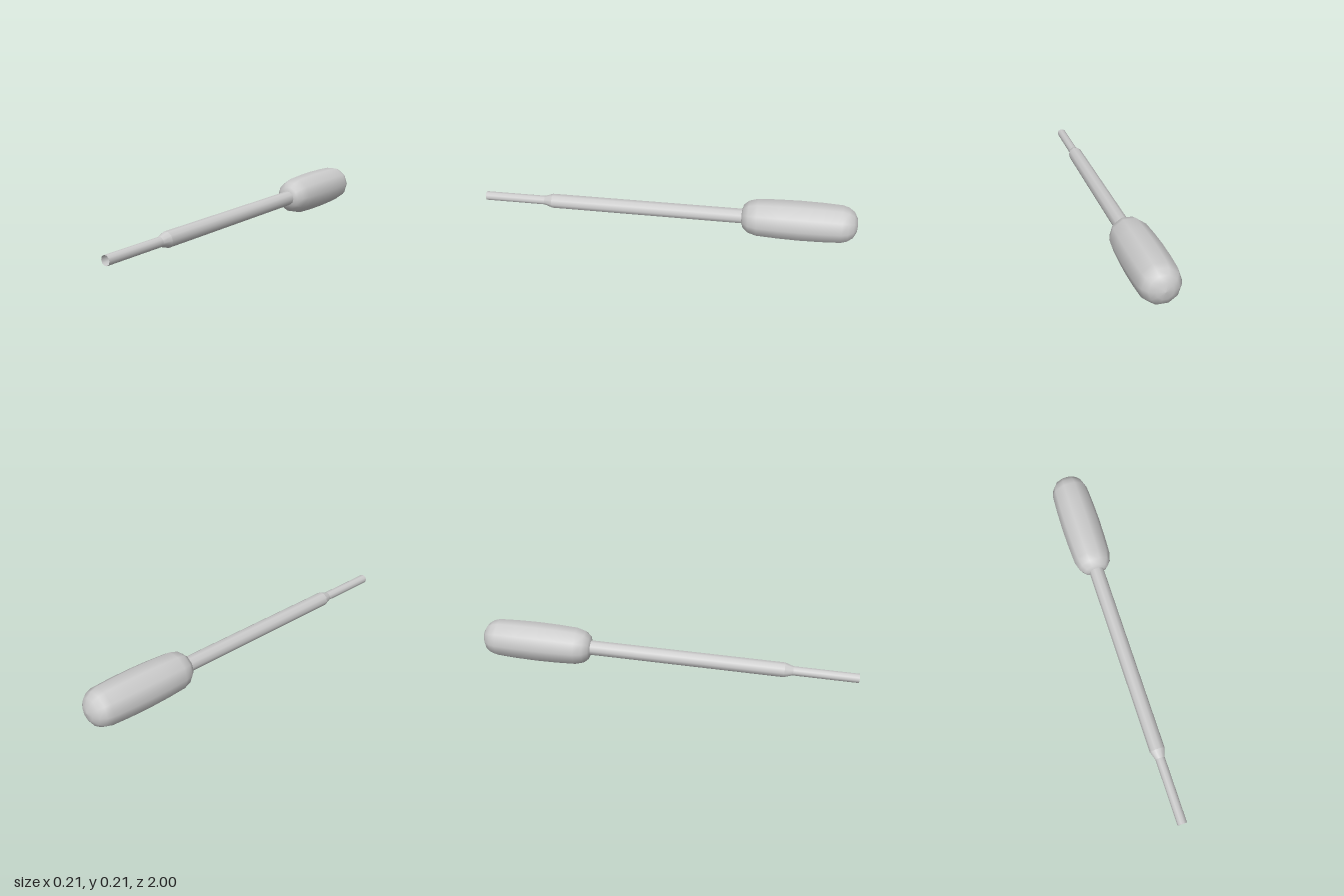
import * as THREE from 'three';

const SIDES = 10;

// Turns a profile of [radius, distance along -z] into a smooth part lying along z
function turned(name, profile, material) {
  const points = profile.map(([r, t]) => new THREE.Vector2(r, t));
  const geometry = new THREE.LatheGeometry(points, SIDES, Math.PI / 2);
  geometry.rotateX(-Math.PI / 2);
  const mesh = new THREE.Mesh(geometry, material);
  mesh.name = name;
  return mesh;
}

export function createModel() {
  const model = new THREE.Group();
  model.name = 'dropperPipette';
  const material = new THREE.MeshStandardMaterial({ color: 0xcccccc, side: THREE.DoubleSide });

  // Open narrow tip, shoulder and long stem
  const tip = turned('tip', [[0.025, 0], [0.025, 0.34]], material);
  const shoulder = turned('shoulder', [[0.025, 0.34], [0.04, 0.385]], material);
  const stem = turned('stem', [[0.04, 0.385], [0.04, 1.415]], material);

  // Squeeze bulb, slightly fuller in the middle, with rounded ends
  const bulb = turned('bulb', [
    [0.04, 1.415], [0.064, 1.423], [0.087, 1.45], [0.1, 1.495],
    [0.105, 1.6], [0.107, 1.71], [0.105, 1.82], [0.1, 1.92],
    [0.09, 1.952], [0.07, 1.979], [0.039, 1.996], [0, 2.002],
  ], material);

  // The whole pipette rests on tip and bulb, rising gently to the back
  model.add(tip, shoulder, stem, bulb);
  for (const part of model.children) {
    part.rotation.x = 0.0475;
    part.position.set(0, 0.034, 1);
  }
  return model;
}
